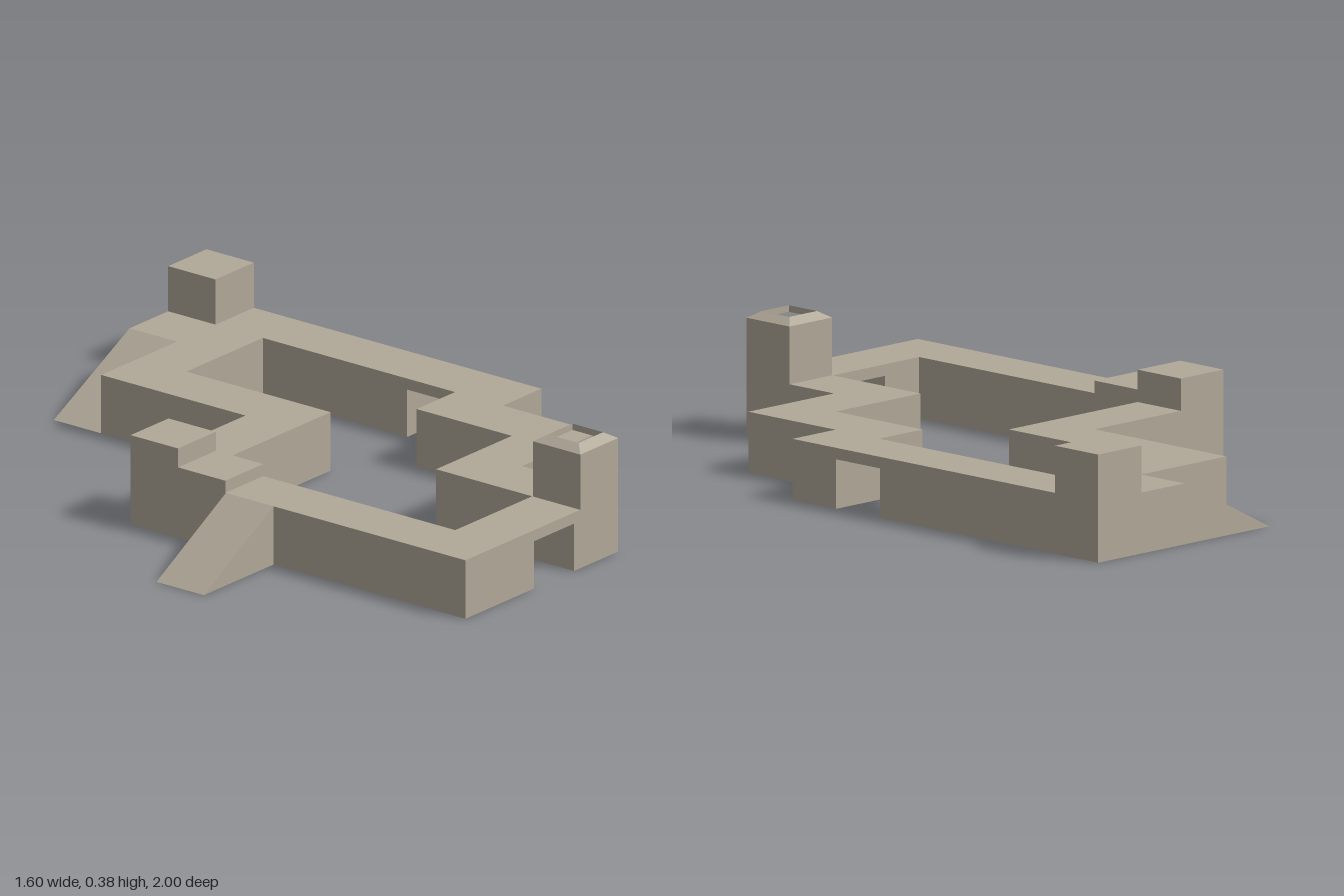
import * as THREE from 'three';

const H = 0.185;      // wall height
const GATE = 0.15;    // gate opening height
const W = 0.18;       // wall thickness

const material = new THREE.MeshStandardMaterial({ color: 0xb0a898, flatShading: true });

export function createModel() {
  const group = new THREE.Group();

  const add = (name, geometry) => {
    const mesh = new THREE.Mesh(geometry, material);
    mesh.name = name;
    group.add(mesh);
    return mesh;
  };

  // Raise a floor plan of [x, z] points from y0 to y1, with optional holes
  const plan = (name, points, y0, y1, holes = []) => {
    const toV = ([x, z]) => new THREE.Vector2(x, -z);
    const shape = new THREE.Shape(points.map(toV));
    shape.holes = holes.map((h) => new THREE.Path(h.map(toV)));
    const geo = new THREE.ExtrudeGeometry(shape, { depth: y1 - y0, bevelEnabled: false });
    return add(name, geo.rotateX(-Math.PI / 2).translate(0, y0, 0));
  };

  const box = (name, x0, x1, y0, y1, z0, z1) => add(name,
    new THREE.BoxGeometry(x1 - x0, y1 - y0, z1 - z0)
      .translate((x0 + x1) / 2, (y0 + y1) / 2, (z0 + z1) / 2));

  // Wedge rising towards +x
  const ramp = (name, x0, x1, z0) => {
    const shape = new THREE.Shape([[x0, 0], [x1, 0], [x1, H]].map((p) => new THREE.Vector2(...p)));
    add(name, new THREE.ExtrudeGeometry(shape, { depth: W, bevelEnabled: false }).translate(0, 0, z0));
  };

  const square = (x, z, r) => [[x - r, z - r], [x + r, z - r], [x + r, z + r], [x - r, z + r]];

  // Tower footprint and shaft
  const tx = 0.165, tz = 0.91, shaftHalf = 0.058;
  const shaft = square(tx, tz, shaftHalf);

  // Long wall: front gate, round the left and back, to the side gate
  plan('mainWall', [
    [-0.145, 1], [-0.47, 1], [-0.47, -0.272], [0.075, -0.272], [0.075, -0.82], [0.435, -0.82],
    [0.435, -1], [0.8, -1], [0.8, -0.092], [0.618, -0.092], [0.618, -0.64], [0.255, -0.64],
    [0.255, -0.092], [-0.29, -0.092], [-0.29, 0.817], [-0.145, 0.817],
  ], 0, H);

  // Stepped wall: side gate to front gate, pierced by the tower shaft
  plan('steppedWall', [
    [0.045, 1], [0.045, 0.817], [0.075, 0.817], [0.075, 0.452], [0.435, 0.452], [0.435, 0.09],
    [0.8, 0.09], [0.8, 0.272], [0.618, 0.272], [0.618, 0.635], [0.255, 0.635], [0.255, 1],
  ], 0, H, [shaft]);

  // Lintels over the two gates
  box('frontGateLintel', -0.145, 0.045, GATE, H, 0.817, 1);
  box('sideGateLintel', 0.618, 0.8, GATE, H, -0.092, 0.09);

  // Hollow tower with a sloped rim
  plan('tower', square(tx, tz, W / 2), H, 0.36, [shaft]);
  add('towerRim', new THREE.CylinderGeometry(shaftHalf * Math.SQRT2, W / 2 * Math.SQRT2, 0.02, 4, 1, true)
    .rotateY(Math.PI / 4).translate(tx, 0.37, tz));
  // Inner lining carries the shaft up to the rim
  const lining = add('towerShaftTop', new THREE.CylinderGeometry(shaftHalf * Math.SQRT2, shaftHalf * Math.SQRT2, 0.02, 4, 1, true)
    .rotateY(Math.PI / 4).translate(tx, 0.37, tz));
  lining.material = material.clone();
  lining.material.side = THREE.BackSide;

  // Raised blocks on the wall tops
  box('backCornerBlock', 0.618, 0.8, H, 0.328, -1, -0.82);
  box('leftCornerBlock', -0.47, -0.29, H, 0.283, -0.272, -0.092);
  box('leftStep', -0.47, -0.29, H, 0.223, -0.092, 0.088);

  // Ramps
  ramp('sideRamp', -0.8, -0.47, 0.09);
  ramp('backRamp', 0.075, 0.435, -1);

  return group;
}
